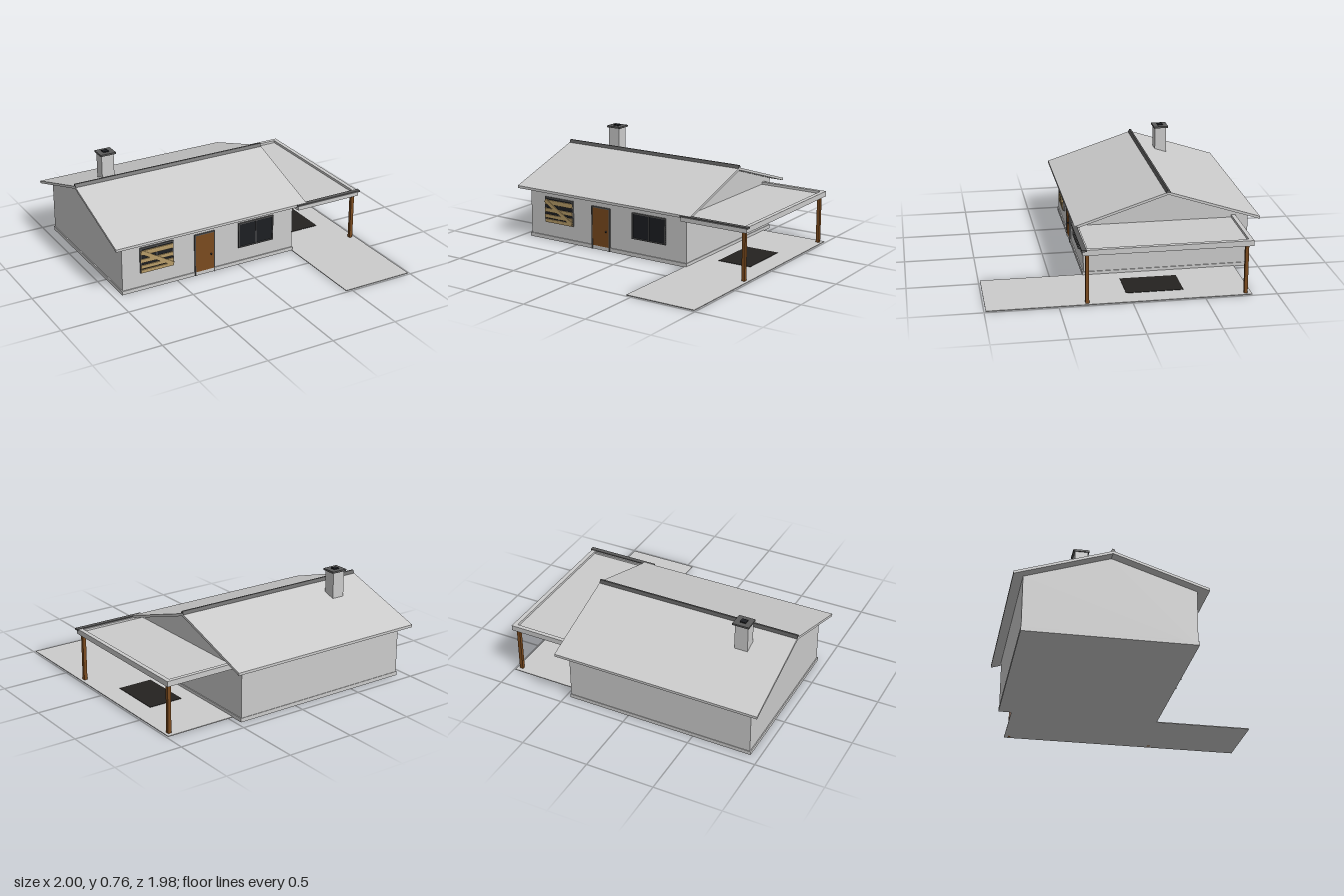
import * as THREE from 'three';

const mat = (color) => new THREE.MeshStandardMaterial({ color, flatShading: true });

export function createModel() {
  const house = new THREE.Group();
  house.name = 'house';
  const grey = mat(0xcccccc), trim = mat(0x5a5a5a), dark = mat(0x1c1e22);
  const wood = mat(0x7a4a1e), plank = mat(0xb89c68), stain = mat(0x242220);

  const add = (name, geometry, material, parent = house) => {
    const mesh = new THREE.Mesh(geometry, material);
    mesh.name = name;
    parent.add(mesh);
    return mesh;
  };
  // Box given by its limits on each axis
  const box = (name, x0, x1, y0, y1, z0, z1, material = grey, parent = house) => {
    const mesh = add(name, new THREE.BoxGeometry(x1 - x0, y1 - y0, z1 - z0), material, parent);
    mesh.position.set((x0 + x1) / 2, (y0 + y1) / 2, (z0 + z1) / 2);
    return mesh;
  };
  const group = (name) => {
    const g = new THREE.Group();
    g.name = name;
    house.add(g);
    return g;
  };
  // Cross-section of [distance behind the ridge, height], swept along x
  const ridgeZ = -0.33;
  const sweep = (name, points, x0, x1, material) => {
    const shape = new THREE.Shape(points.map(([d, y]) => new THREE.Vector2(d, y)));
    const geo = new THREE.ExtrudeGeometry(shape, { depth: x1 - x0, bevelEnabled: false });
    geo.rotateY(Math.PI / 2);
    add(name, geo, material).position.set(x0, 0, ridgeZ);
  };

  // Walls with gables, and plinth
  sweep('walls', [[-0.59, 0], [0.59, 0], [0.59, 0.4], [0, 0.593], [-0.59, 0.4]], -0.928, 0.46, grey);
  box('plinth', -0.935, 0.466, 0, 0.028, -0.924, 0.268);

  // Pitched roof and ridge cap
  sweep('roof', [[-0.66, 0.378], [0, 0.594], [0.66, 0.378], [0.66, 0.397], [0, 0.613], [-0.66, 0.397]],
    -1, 0.535, grey);
  sweep('ridgeCap', [[-0.018, 0.605], [0.018, 0.605], [0.006, 0.63], [-0.006, 0.63]], -1, 0.535, trim);

  // Chimney
  const chimney = group('chimney');
  box('chimneyStack', -0.725, -0.628, 0.5, 0.738, -0.547, -0.459, grey, chimney);
  box('chimneyCap', -0.735, -0.613, 0.737, 0.75, -0.56, -0.449, trim, chimney);
  box('chimneyFlue', -0.697, -0.653, 0.74, 0.757, -0.525, -0.485, dark, chimney);

  // Door
  const door = group('door');
  box('doorPanel', -0.352, -0.203, 0.028, 0.317, 0.25, 0.269, wood, door);
  box('doorFrameLeft', -0.204, -0.196, 0, 0.325, 0.25, 0.273, trim, door);
  box('doorFrameRight', -0.359, -0.351, 0, 0.325, 0.25, 0.273, trim, door);
  box('doorFrameTop', -0.359, -0.196, 0.316, 0.325, 0.25, 0.273, trim, door);
  const knob = add('doorKnob', new THREE.SphereGeometry(0.007, 8, 6), dark, door);
  knob.position.set(-0.228, 0.147, 0.274);

  // Framed windows
  const window = (name, x0, x1) => {
    const g = group(name), y0 = 0.135, y1 = 0.33, t = 0.008;
    box('glass', x0, x1, y0, y1, 0.25, 0.267, dark, g);
    for (const [a, b] of [[x0, x0 + t], [x1 - t, x1]])
      box('frameSide', a, b, y0, y1, 0.25, 0.273, trim, g);
    for (const [a, b] of [[y0, y0 + t], [y1 - t, y1]])
      box('frameRail', x0, x1, a, b, 0.25, 0.273, trim, g);
    const mid = (x0 + x1) / 2;
    box('mullion', mid - 0.003, mid + 0.003, y0, y1, 0.25, 0.272, trim, g);
    return g;
  };
  window('window', 0, 0.29);
  const boarded = window('boardedWindow', -0.79, -0.53);

  // Planks nailed over the second window
  for (const [y, h] of [[0.292, 0.034], [0.23, 0.028], [0.183, 0.026], [0.149, 0.024]])
    box('plank', -0.787, -0.533, y - h / 2, y + h / 2, 0.268, 0.276, plank, boarded);
  const brace = box('crossPlank', -0.805, -0.515, 0.214, 0.242, 0.274, 0.281, plank, boarded);
  brace.rotation.z = -0.55;

  // Carport: sunken flat roof with rim, gutter and posts
  const carport = group('carport');
  box('carportRoof', 0.46, 0.988, 0.355, 0.376, -0.828, 0.32, grey, carport);
  box('rimSide', 0.956, 0.988, 0.356, 0.394, -0.828, 0.32, grey, carport);
  box('rimBack', 0.46, 0.988, 0.356, 0.394, -0.828, -0.798, grey, carport);
  box('rimFront', 0.46, 0.988, 0.356, 0.39, 0.3, 0.34, grey, carport);
  box('gutter', 0.455, 0.998, 0.386, 0.398, 0.312, 0.346, trim, carport);
  for (const z of [0.305, -0.787])
    box('post', 0.943, 0.968, 0, 0.36, z - 0.012, z + 0.012, wood, carport);

  // Driveway and dark patch on it
  box('driveway', 0.455, 0.988, 0, 0.006, -0.828, 0.988);
  box('darkPatch', 0.58, 0.84, 0.004, 0.009, -0.38, 0.02, stain);

  return house;
}
